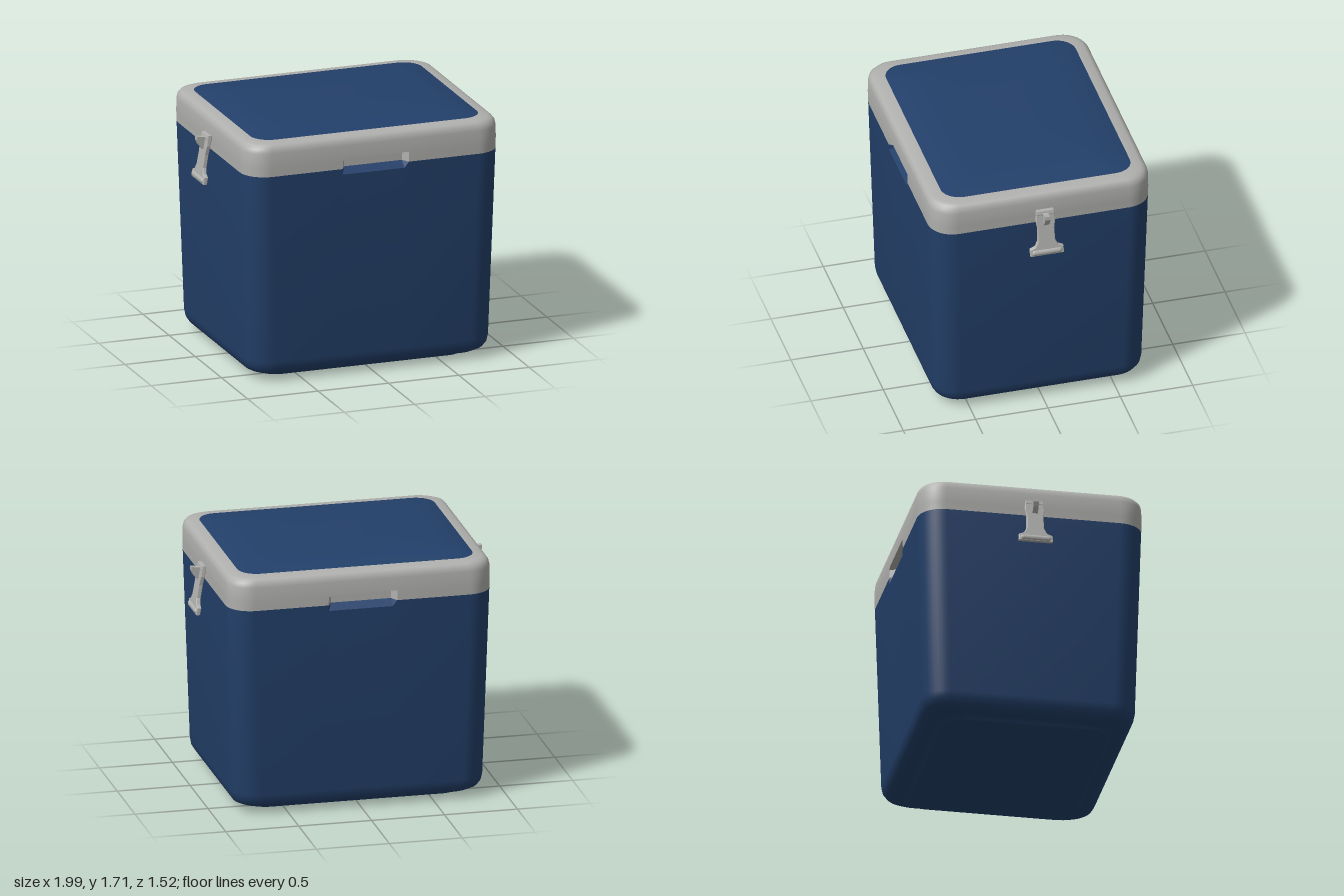
import * as THREE from 'three';
import { toCreasedNormals } from 'three/addons/utils/BufferGeometryUtils.js';

const blue = new THREE.MeshStandardMaterial({ color: 0x23406a });
blue.name = 'navyBlue';
const grey = new THREE.MeshStandardMaterial({ color: 0xb0b0ae });
grey.name = 'lightGrey';

// Rounded-rectangle ring; notch is how far the handle recess sinks into front and back
function ring([y, w, d, r, notch = 0]) {
  const pts = [];
  const corner = (sx, sz, start) => {
    for (let i = 0; i <= 10; i++) {
      const a = start + (i / 10) * Math.PI / 2;
      pts.push([sx * (w - r) + r * Math.cos(a), y, sz * (d - r) + r * Math.sin(a)]);
    }
  };
  const side = (s) => {
    for (const [x, k] of [[0.235, 0], [0.205, 1], [-0.205, 1], [-0.235, 0]]) {
      pts.push([s * x, y, s * (d - k * notch)]);
    }
  };
  corner(1, 1, 0);
  side(1);
  corner(-1, 1, Math.PI / 2);
  corner(-1, -1, Math.PI);
  side(-1);
  corner(1, -1, Math.PI * 1.5);
  return pts;
}

// Skin a stack of rings, closing the bottom or top when asked
function loft(rows, capBottom, capTop) {
  const rings = rows.map(ring);
  const n = rings[0].length;
  const pos = [];
  const tri = (...p) => p.forEach((v) => pos.push(...v));
  for (let j = 0; j < rings.length - 1; j++) {
    for (let i = 0; i < n; i++) {
      const k = (i + 1) % n;
      const a = rings[j][i], b = rings[j][k], c = rings[j + 1][i], e = rings[j + 1][k];
      tri(a, c, b);
      tri(b, c, e);
    }
  }
  const last = rings[rings.length - 1];
  for (let i = 0; i < n; i++) {
    const k = (i + 1) % n;
    if (capBottom) tri([0, rows[0][0], 0], rings[0][i], rings[0][k]);
    if (capTop) tri([0, rows[rows.length - 1][0], 0], last[k], last[i]);
  }
  const g = new THREE.BufferGeometry();
  g.setAttribute('position', new THREE.Float32BufferAttribute(pos, 3));
  return toCreasedNormals(g, 0.6);
}

function add(parent, name, geometry, material) {
  const mesh = new THREE.Mesh(geometry, material);
  mesh.name = name;
  parent.add(mesh);
  return mesh;
}

function shapeOf(points) {
  return new THREE.Shape(points.map(([x, y]) => new THREE.Vector2(x, y)));
}

// Side latch, modelled on the +x side
function makeLatch() {
  const latch = new THREE.Group();

  // T-shaped strap, leaning outwards towards its foot
  const half = [[0.055, 1.545], [0.062, 1.48], [0.052, 1.42], [0.055, 1.33], [0.075, 1.29], [0.11, 1.275], [0.11, 1.235]];
  const outline = [...half.map(([z, y]) => [-z, y]), ...half.slice().reverse()];
  const strap = new THREE.ExtrudeGeometry(shapeOf(outline), {
    depth: 0.02, bevelEnabled: true, bevelSize: 0.005, bevelThickness: 0.005, bevelSegments: 2,
  });
  strap.rotateY(Math.PI / 2);
  const p = strap.attributes.position;
  for (let i = 0; i < p.count; i++) {
    p.setX(i, p.getX(i) + 0.908 + (1.545 - p.getY(i)) * 0.175);
  }
  strap.computeVertexNormals();
  add(latch, 'latchStrap', strap, grey);

  // Rounded finger grip along the foot
  const grip = new THREE.CapsuleGeometry(0.023, 0.17, 4, 12);
  grip.rotateX(Math.PI / 2);
  grip.translate(0.972, 1.252, 0);
  add(latch, 'latchGrip', grip, grey);

  // Central hook with a lip sticking out at the top
  const hook = new THREE.ExtrudeGeometry(
    shapeOf([[0.9, 1.45], [0.955, 1.45], [0.985, 1.485], [0.997, 1.515], [0.995, 1.54], [0.96, 1.533], [0.9, 1.535]]),
    { depth: 0.036, bevelEnabled: false });
  hook.translate(0, 0, -0.018);
  add(latch, 'latchHook', hook, grey);

  // Hinge pin where the strap meets the lid
  const pin = new THREE.CylinderGeometry(0.02, 0.02, 0.12, 14);
  pin.rotateX(Math.PI / 2);
  pin.translate(0.918, 1.525, 0);
  add(latch, 'latchPin', pin, grey);
  return latch;
}

export function createModel() {
  const cooler = new THREE.Group();
  cooler.name = 'coolBox';

  // Tapered tub with a raised foot and a scooped lip under each handle recess
  add(cooler, 'body', loft([
    [0.0, 0.72, 0.56, 0.13],
    [0.02, 0.735, 0.58, 0.14],
    [0.028, 0.76, 0.61, 0.15],
    [0.04, 0.8, 0.66, 0.16],
    [0.062, 0.835, 0.695, 0.165],
    [0.095, 0.855, 0.715, 0.17],
    [0.14, 0.863, 0.723, 0.17],
    [1.41, 0.902, 0.757, 0.17],
    [1.45, 0.903, 0.759, 0.17, 0.055],
  ], true, false), blue);

  // Lid rim with a soft top edge
  add(cooler, 'lidRim', loft([
    [1.45, 0.903, 0.759, 0.17, 0.055],
    [1.505, 0.904, 0.76, 0.17, 0.055],
    [1.52, 0.905, 0.76, 0.17],
    [1.61, 0.903, 0.759, 0.17],
    [1.64, 0.897, 0.753, 0.168],
    [1.66, 0.882, 0.738, 0.162],
    [1.67, 0.86, 0.715, 0.155],
    [1.674, 0.805, 0.655, 0.13],
  ], false, false), grey);

  // Gently raised top panel
  add(cooler, 'lidPanel', loft([
    [1.674, 0.805, 0.655, 0.13],
    [1.704, 0.66, 0.5, 0.11],
    [1.708, 0.61, 0.45, 0.1],
  ], false, true), blue);

  // One latch on each side
  for (const side of ['left', 'right']) {
    const latch = makeLatch();
    latch.name = side + 'Latch';
    if (side === 'right') latch.rotation.y = Math.PI;
    cooler.add(latch);
  }
  return cooler;
}
